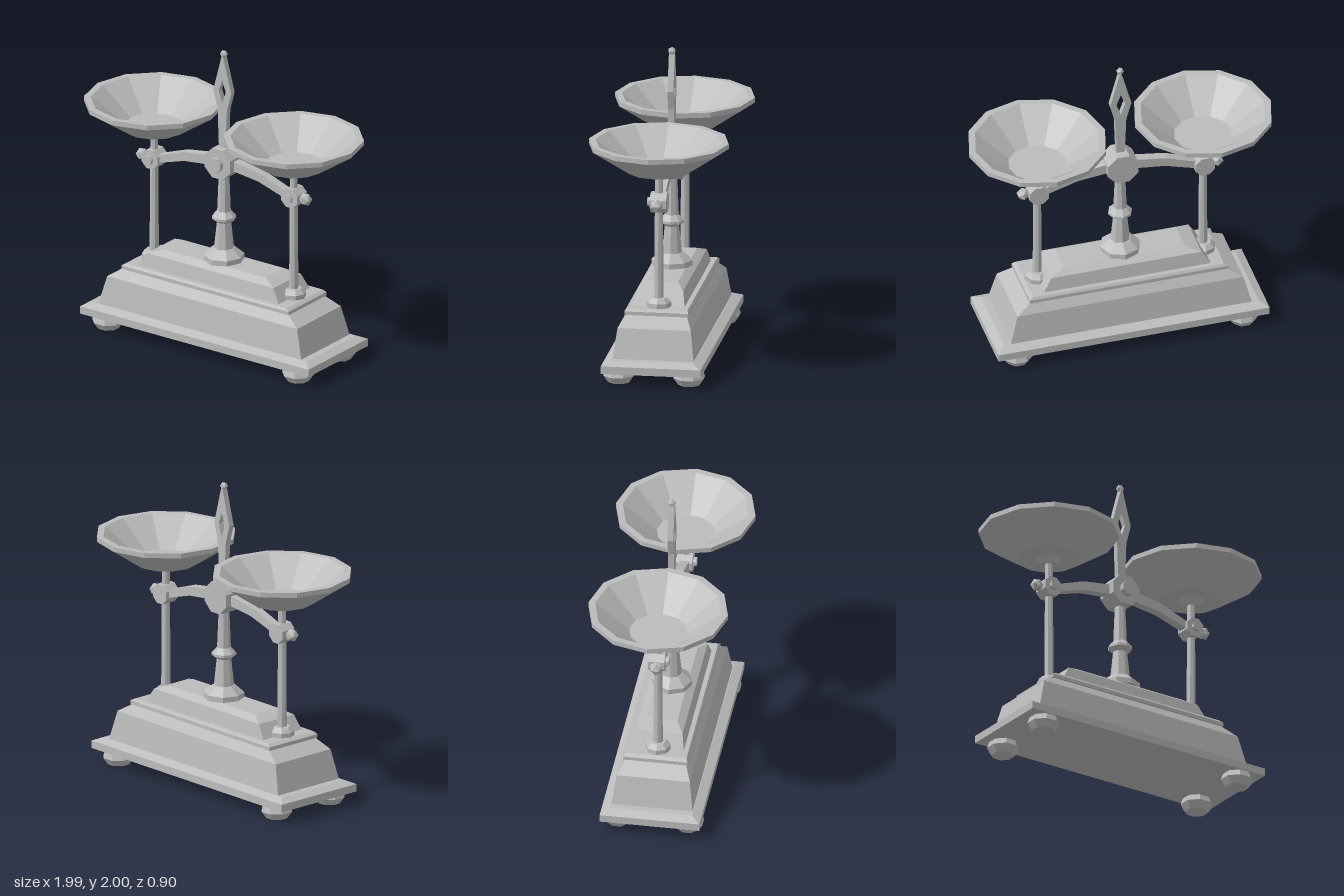
import * as THREE from 'three';

const metal = new THREE.MeshStandardMaterial({ color: 0xbcbcbc });
metal.name = 'grey metal';

// Faceted mesh: unshared vertices give one normal per face
function facet(name, geometry) {
  const g = geometry.index ? geometry.toNonIndexed() : geometry;
  g.computeVertexNormals();
  const mesh = new THREE.Mesh(g, metal);
  mesh.name = name;
  return mesh;
}

// Turned part: profile of [radius, y], listed bottom to top
function turned(name, profile, sides = 8, spin = 0) {
  const pts = profile.map(([r, y]) => new THREE.Vector2(r, y));
  return facet(name, new THREE.LatheGeometry(pts, sides, spin));
}

// Rectangular stepped block: levels of [y, halfX, halfZ], bottom to top
function stepped(name, levels) {
  const ring = ([y, hx, hz]) => [[-hx, y, hz], [hx, y, hz], [hx, y, -hz], [-hx, y, -hz]];
  const v = [];
  const quad = (a, b, c, d) => v.push(...a, ...b, ...c, ...a, ...c, ...d);
  for (let i = 0; i < levels.length - 1; i++) {
    const lo = ring(levels[i]), hi = ring(levels[i + 1]);
    for (let k = 0; k < 4; k++) quad(lo[k], lo[(k + 1) % 4], hi[(k + 1) % 4], hi[k]);
  }
  const bottom = ring(levels[0]), top = ring(levels[levels.length - 1]);
  quad(...top);
  quad(...bottom.reverse());
  const g = new THREE.BufferGeometry();
  g.setAttribute('position', new THREE.Float32BufferAttribute(v, 3));
  return facet(name, g);
}

// Flat outline extruded evenly about z = 0
function plate(name, outline, halfZ, hole) {
  const toVec = (p) => p.map(([x, y]) => new THREE.Vector2(x, y));
  const shape = new THREE.Shape(toVec(outline));
  if (hole) shape.holes.push(new THREE.Path(toVec(hole)));
  const g = new THREE.ExtrudeGeometry(shape, { depth: 2 * halfZ, bevelEnabled: false });
  return facet(name, g.translate(0, 0, -halfZ));
}

// Octagonal boss along z with a smaller cap on the front
function boss(name, r, back, front, capR, capFront) {
  const mesh = turned(name, [[0, back], [r, back], [r, front], [capR, front], [capR, capFront], [0, capFront]], 8, Math.PI / 8);
  mesh.rotation.x = Math.PI / 2;
  return mesh;
}

export function createModel() {
  const model = new THREE.Group();
  model.name = 'balanceScale';

  // Plinth
  model.add(stepped('basePlate', [[0.085, 0.895, 0.32], [0.135, 0.895, 0.32], [0.16, 0.84, 0.265]]));
  model.add(stepped('baseBody', [[0.16, 0.795, 0.26], [0.35, 0.745, 0.235], [0.412, 0.645, 0.195]]));
  model.add(stepped('baseLedge', [[0.412, 0.655, 0.205], [0.435, 0.655, 0.205], [0.45, 0.63, 0.195]]));
  model.add(stepped('upperBlock', [[0.45, 0.55, 0.165], [0.54, 0.495, 0.148], [0.572, 0.4, 0.1]]));

  // Feet
  for (const x of [-0.745, 0.745]) {
    for (const z of [-0.225, 0.225]) {
      const foot = turned('foot', [[0, 0], [0.072, 0], [0.104, 0.045], [0.09, 0.086], [0, 0.086]], 8, Math.PI / 8);
      foot.position.set(x, 0, z);
      model.add(foot);
    }
  }

  // Central column with flange and collar
  model.add(turned('column', [
    [0, 0.57], [0.13, 0.57], [0.13, 0.605], [0.07, 0.655], [0.064, 0.655], [0.046, 0.83],
    [0.078, 0.852], [0.078, 0.868], [0.044, 0.905], [0.032, 1.2], [0, 1.2],
  ]));

  // Hub
  const hub = boss('hub', 0.108, -0.075, 0.072, 0.05, 0.108);
  hub.position.y = 1.245;
  model.add(hub);

  // Pointer with diamond opening, and its ball
  const half = [[0.026, 1.33], [0.036, 1.6], [0.07, 1.725], [0.006, 1.965]];
  model.add(plate('pointer',
    [...half, ...half.map(([x, y]) => [-x, y]).reverse()], 0.019,
    [[0, 1.645], [-0.028, 1.725], [0, 1.8], [0.028, 1.725]]));
  const tip = facet('pointerBall', new THREE.IcosahedronGeometry(0.026, 0));
  tip.position.y = 1.977;
  model.add(tip);

  // Arched beam across both arms
  const upper = [[0.09, 1.272], [0.3, 1.24], [0.53, 1.158]];
  const lower = [[0.53, 1.108], [0.29, 1.182], [0.09, 1.205]];
  const right = [...upper, ...lower];
  for (const s of [-1, 1]) {
    model.add(plate('beamArm', right.map(([x, y]) => [s * x, y]), 0.03));
  }

  // Each side: post, joint, end nut and pan
  for (const s of [-1, 1]) {
    const side = new THREE.Group();
    side.name = s > 0 ? 'leftSide' : 'rightSide';
    side.position.x = s * 0.547;

    side.add(turned('postFlange', [[0, 0.45], [0.08, 0.45], [0.08, 0.48], [0.052, 0.508], [0, 0.508]]));
    side.add(turned('post', [[0.03, 0.5], [0.025, 1.31]]));

    const joint = boss('joint', 0.068, -0.055, 0.05, 0.03, 0.072);
    joint.position.y = 1.135;
    side.add(joint);

    const stem = facet('nutStem', new THREE.CylinderGeometry(0.02, 0.02, 0.06, 8));
    stem.rotation.z = Math.PI / 2;
    stem.position.set(s * 0.06, 1.135, 0);
    side.add(stem);
    const nut = facet('endNut', new THREE.IcosahedronGeometry(0.043, 0));
    nut.position.set(s * 0.093, 1.135, 0);
    side.add(nut);

    side.add(turned('panSocket', [[0, 1.302], [0.046, 1.302], [0.088, 1.34], [0, 1.34]]));
    side.add(turned('pan', [
      [0, 1.338], [0.2, 1.338], [0.448, 1.503], [0.448, 1.535],
      [0.405, 1.535], [0.186, 1.36], [0, 1.36],
    ], 12));
    model.add(side);
  }
  return model;
}
